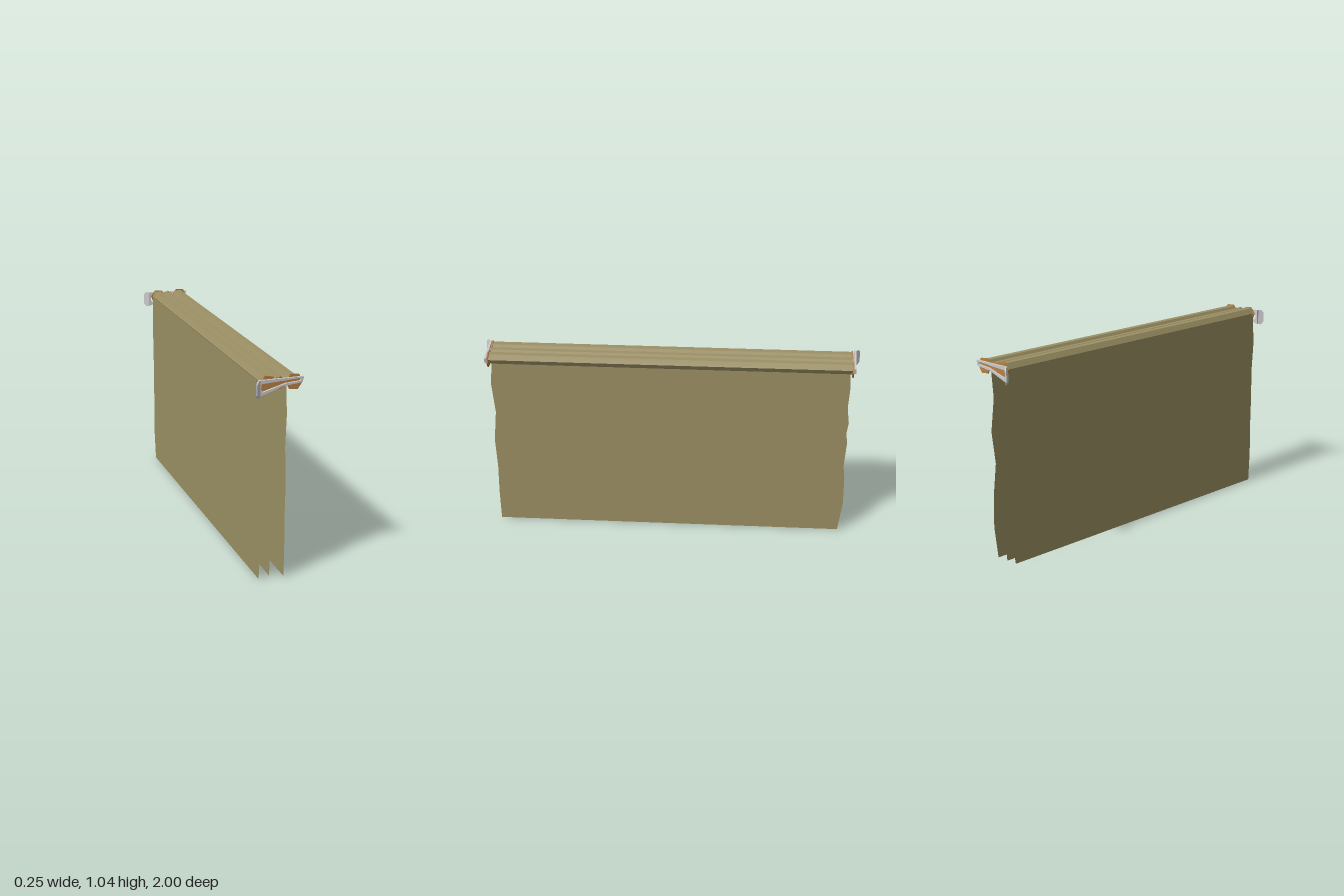
import * as THREE from 'three';

const mat = (color, side = THREE.FrontSide) =>
  new THREE.MeshStandardMaterial({ color, flatShading: true, side });
const cloth = mat(0x9c9064);
const sheetMat = mat(0x9c9064, THREE.DoubleSide);
const wood = mat(0xb87f45);
const metal = mat(0xcccccc, THREE.DoubleSide);

function add(parent, name, geometry, material) {
  const mesh = new THREE.Mesh(geometry, material);
  mesh.name = name;
  parent.add(mesh);
  return mesh;
}

// Six-sided bar along z, with its first corner at the given angle
function hexBar(radius, length, degrees) {
  const start = THREE.MathUtils.degToRad(degrees + 90);
  return new THREE.CylinderGeometry(radius, radius, length, 6, 1, false, start).rotateX(Math.PI / 2);
}

const points = (list) => list.map(([a, b]) => new THREE.Vector2(a, b));

// Hanging sheet with uneven side edges, standing in the yz plane
function sheetGeometry(front, back) {
  const heights = [0, 0.17, 0.33, 0.5, 0.67, 0.84, 1.005];
  const right = heights.map((y, i) => [-front[i], y]);
  const left = heights.map((y, i) => [back[i], y]).reverse();
  const shape = new THREE.Shape(points([...right, ...left]));
  return new THREE.ShapeGeometry(shape).rotateY(Math.PI / 2);
}

// Rolled cloth with wooden end caps; the sheet drops from the right edge of the roll
function makeRoll({ name, x, radius, sheetX, capX, capRadius, capAngle, front, back }) {
  const roll = new THREE.Group();
  roll.name = name;
  const bar = add(roll, 'clothRoll', hexBar(radius, 1.908, 0), cloth);
  bar.position.set(x, 1.007, 0);
  for (const s of [-1, 1]) {
    const cap = add(roll, 'endCap', hexBar(capRadius, 0.007, capAngle), wood);
    cap.position.set(capX, 1.002, s * 0.955);
  }
  const sheet = add(roll, 'sheet', sheetGeometry(front, back), sheetMat);
  sheet.position.x = sheetX;
  return roll;
}

// Wall bracket: tapering arm with a long opening and a flared wall flange
function makeBracket() {
  const bracket = new THREE.Group();
  const arm = new THREE.Shape(points([
    [-0.105, 0.948], [-0.085, 0.953], [0.02, 0.988], [0.117, 0.998], [0.125, 1.026], [-0.105, 1.027],
  ]));
  arm.holes.push(new THREE.Path(points([
    [-0.09, 1.009], [0.112, 1.02], [0.108, 1.006], [0.03, 1.0], [-0.085, 0.968], [-0.094, 0.985],
  ])));
  const armGeo = new THREE.ExtrudeGeometry(arm, { depth: 0.011, bevelEnabled: false });
  const p = armGeo.attributes.position;
  // The arm leans outward towards the wall
  for (let i = 0; i < p.count; i++) p.setZ(i, p.getZ(i) + 0.963 - 0.04 * p.getX(i));
  armGeo.computeVertexNormals();
  add(bracket, 'arm', armGeo, metal);

  const flange = new THREE.Shape(points([
    [0.972, 0.948], [0.99, 0.942], [1.0, 0.96], [1.0, 1.012], [0.99, 1.027], [0.972, 1.027],
  ]));
  const flangeGeo = new THREE.ExtrudeGeometry(flange, { depth: 0.008, bevelEnabled: false });
  const q = flangeGeo.attributes.position;
  // Stand the flange in the yz plane and slant it away from the arm
  for (let i = 0; i < q.count; i++) {
    const z = q.getX(i), y = q.getY(i), depth = q.getZ(i);
    q.setXYZ(i, -0.127 + depth + (1 - z) * 1.0, y, z);
  }
  flangeGeo.computeVertexNormals();
  add(bracket, 'wallFlange', flangeGeo, metal);
  return bracket;
}

export function createModel() {
  const model = new THREE.Group();
  model.name = 'hangingSheetRack';

  const rolls = [
    { name: 'rightRoll', x: -0.052, radius: 0.033, sheetX: -0.085,
      capX: -0.052, capRadius: 0.043, capAngle: 113,
      front: [0.947, 0.955, 0.952, 0.955, 0.953, 0.966, 0.95],
      back: [0.93, 0.955, 0.953, 0.945, 0.952, 0.957, 0.95] },
    { name: 'middleRoll', x: 0.004, radius: 0.026, sheetX: -0.022,
      capX: 0.008, capRadius: 0.032, capAngle: 85,
      front: [0.925, 0.93, 0.928, 0.936, 0.93, 0.935, 0.937],
      back: [0.93, 0.95, 0.945, 0.957, 0.945, 0.955, 0.945] },
    { name: 'leftRoll', x: 0.072, radius: 0.031, sheetX: 0.045,
      capX: 0.079, capRadius: 0.043, capAngle: 115,
      front: [0.948, 0.952, 0.95, 0.958, 0.942, 0.958, 0.943],
      back: [0.93, 0.953, 0.951, 0.931, 0.954, 0.933, 0.947] },
  ];
  for (const roll of rolls) model.add(makeRoll(roll));

  // Matching brackets at both ends
  for (const s of [1, -1]) {
    const bracket = makeBracket();
    bracket.name = s > 0 ? 'frontBracket' : 'backBracket';
    bracket.scale.z = s;
    model.add(bracket);
  }
  return model;
}
